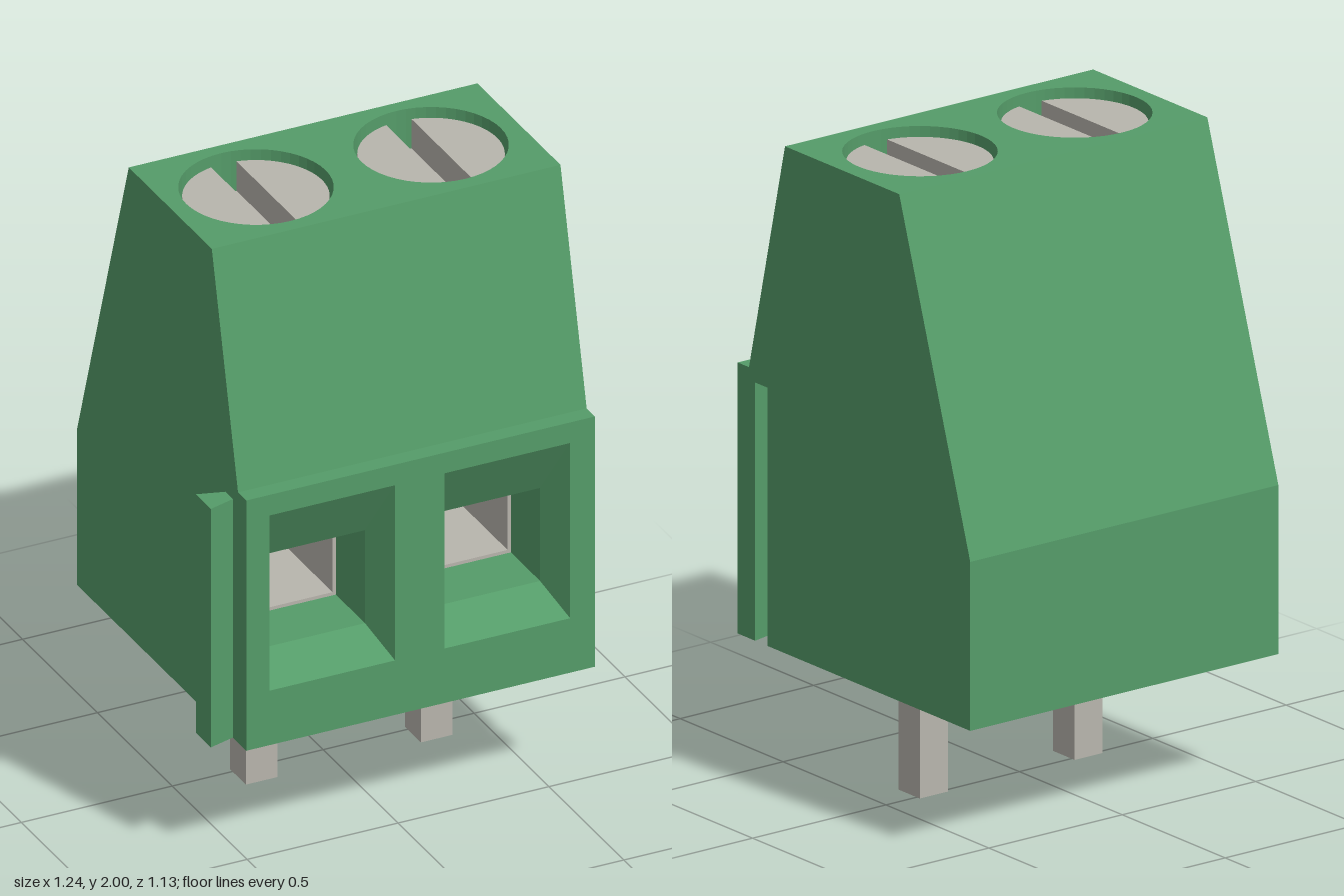
import * as THREE from 'three';

const GREEN = new THREE.MeshStandardMaterial({ color: 0x559c69, flatShading: true, side: THREE.DoubleSide });
const METAL = new THREE.MeshStandardMaterial({ color: 0xb8b5ad, flatShading: true });
const METAL_ROUND = new THREE.MeshStandardMaterial({ color: 0xb8b5ad });

const X0 = -0.535, X1 = 0.62, BASE = 0.41, RAIL_TOP = 1.22;
const POLES = [-0.25, 0.33];          // x of each terminal
const SCREW_Z = 0.055, WELL_R = 0.231, HEAD_R = 0.219;
const WIN_Y = 0.842;                  // centre height of the wire entry

const shapeOf = pts => new THREE.Shape(pts.map(p => new THREE.Vector2(...p)));
const rect = (x0, y0, x1, y1) => shapeOf([[x0, y0], [x1, y0], [x1, y1], [x0, y1]]);

// Quads joining consecutive loops of 3D points
function loft(loops, closed) {
  const pos = [];
  for (let i = 0; i + 1 < loops.length; i++) {
    const n = loops[i].length;
    for (let j = 0; j < (closed ? n : n - 1); j++) {
      const k = (j + 1) % n;
      const [a, b, c, d] = [loops[i][j], loops[i][k], loops[i + 1][k], loops[i + 1][j]];
      pos.push(...a, ...b, ...c, ...a, ...c, ...d);
    }
  }
  const g = new THREE.BufferGeometry();
  g.setAttribute('position', new THREE.Float32BufferAttribute(pos, 3));
  g.computeVertexNormals();
  return g;
}

export function createModel() {
  const model = new THREE.Group();
  model.name = 'terminalBlock';
  const housing = new THREE.Group();
  housing.name = 'housing';
  model.add(housing);

  const add = (parent, name, geometry, material, x = 0, y = 0, z = 0) => {
    const m = new THREE.Mesh(geometry, material);
    m.name = name;
    m.position.set(x, y, z);
    parent.add(m);
    return m;
  };
  const flat = shape => new THREE.ShapeGeometry(shape, 24);

  // Sloping and stepped outer faces, swept across the width
  const sweep = path => loft([X1, X0].map(x => path.map(([z, y]) => [x, y, z])), false);
  add(housing, 'frontSlope', sweep([[0.565, 1.26], [0.51, 1.26], [0.335, 2]]), GREEN);
  add(housing, 'back', sweep([[-0.22, 2], [-0.565, 0.94], [-0.565, BASE]]), GREEN);

  // Side walls; the left one is notched for the dovetail groove
  const profile = [[0.565, BASE], [0.565, 1.26], [0.51, 1.26], [0.335, 2], [-0.22, 2], [-0.565, 0.94], [-0.565, BASE]];
  const notch = [[0.42, BASE], [0.42, RAIL_TOP], [0.48, RAIL_TOP], [0.48, BASE]];
  add(housing, 'rightWall', flat(shapeOf(profile)).rotateY(-Math.PI / 2), GREEN, X0);
  add(housing, 'leftWall',
    flat(shapeOf([...profile, ...notch].map(([z, y]) => [-z, y]))).rotateY(Math.PI / 2), GREEN, X1);

  // Dovetail groove and the matching tongue
  const groove = [[X1, 0.48], [0.535, 0.5], [0.535, 0.4], [X1, 0.42]];
  add(housing, 'groove', loft([BASE, RAIL_TOP].map(y => groove.map(([x, z]) => [x, y, z])), false), GREEN);
  add(housing, 'grooveEnd', flat(shapeOf(groove)).rotateX(Math.PI / 2), GREEN, 0, RAIL_TOP);
  const tongue = shapeOf([[X0, -0.425], [-0.62, -0.4], [-0.62, -0.5], [X0, -0.475]]);
  add(housing, 'tongue',
    new THREE.ExtrudeGeometry(tongue, { depth: RAIL_TOP - BASE, bevelEnabled: false }).rotateX(-Math.PI / 2),
    GREEN, 0, BASE);

  // Underside with the open end of the groove
  const underside = shapeOf([[X0, -0.565], [X1, -0.565], [X1, 0.42], [0.535, 0.4],
    [0.535, 0.5], [X1, 0.48], [X1, 0.565], [X0, 0.565]]);
  add(housing, 'underside', flat(underside).rotateX(Math.PI / 2), GREEN, 0, BASE);

  // Front and top faces, opened for each terminal
  const front = rect(X0, BASE, X1, 1.26);
  const top = rect(X0, -0.335, X1, 0.22);
  for (const x of POLES) {
    front.holes.push(rect(x - 0.208, 0.595, x + 0.208, 1.19));
    top.holes.push(new THREE.Path().absarc(x, -SCREW_Z, WELL_R, 0, Math.PI * 2, true));
  }
  add(housing, 'frontFace', flat(front), GREEN, 0, 0, 0.565);
  add(housing, 'topFace', flat(top).rotateX(-Math.PI / 2), GREEN, 0, 2);

  POLES.forEach((x, i) => {
    const terminal = new THREE.Group();
    terminal.name = 'terminal' + (i + 1);
    terminal.position.x = x;
    model.add(terminal);

    // Funnel-shaped wire entry leading into a square tunnel
    const loop = (w, y0, y1, z) => [[-w, y0, z], [w, y0, z], [w, y1, z], [-w, y1, z]];
    const h = 0.158;
    add(terminal, 'wireEntry', loft([loop(0.208, 0.595, 1.19, 0.565),
      loop(h, WIN_Y - h, WIN_Y + h, 0.465), loop(h, WIN_Y - h, WIN_Y + h, -0.2)], true), GREEN);
    add(terminal, 'wireEntryBack', flat(rect(-h, WIN_Y - h, h, WIN_Y + h)), GREEN, 0, 0, -0.2);

    // Metal clamp cage around the tunnel
    const cage = rect(-0.168, -0.168, 0.168, 0.168);
    cage.holes.push(rect(-0.147, -0.147, 0.147, 0.147));
    add(terminal, 'clampCage', new THREE.ExtrudeGeometry(cage, { depth: 0.465, bevelEnabled: false }),
      METAL, 0, WIN_Y, -0.195);

    // Screw well
    add(terminal, 'screwWell', new THREE.CylinderGeometry(WELL_R, WELL_R, 1, 48, 1, true), GREEN, 0, 1.5, SCREW_Z);
    add(terminal, 'screwWellFloor', new THREE.CircleGeometry(WELL_R, 48).rotateX(-Math.PI / 2), GREEN, 0, 1, SCREW_Z);

    // Slotted screw: a solid barrel with two raised segments
    add(terminal, 'screwBarrel', new THREE.CylinderGeometry(HEAD_R, HEAD_R, 0.85, 48), METAL_ROUND, 0, 1.445, SCREW_Z);
    const a = Math.acos(0.042 / HEAD_R);
    for (const turn of [0, Math.PI]) {
      const segment = new THREE.Shape().absarc(0, 0, HEAD_R, turn - a, turn + a, false);
      add(terminal, 'screwHeadHalf',
        new THREE.ExtrudeGeometry(segment, { depth: 0.1, bevelEnabled: false, curveSegments: 24 }).rotateX(-Math.PI / 2),
        METAL, 0, 1.87, SCREW_Z);
    }

    // Solder pin
    add(terminal, 'pin', new THREE.BoxGeometry(0.105, 0.45, 0.105), METAL, 0.002, 0.225, 0.037);
  });

  return model;
}
